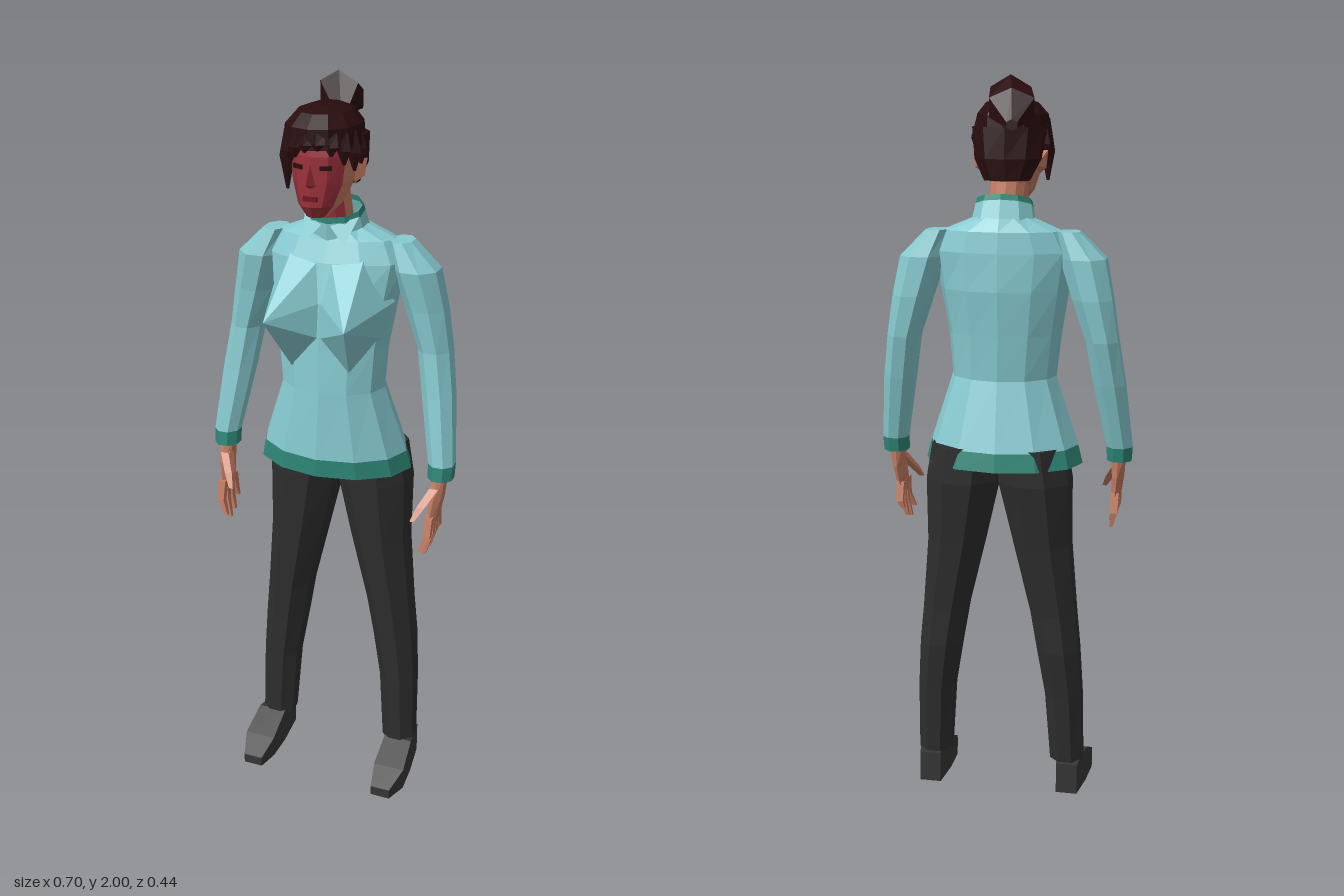
import * as THREE from 'three';
import { ConvexGeometry } from 'three/addons/geometries/ConvexGeometry.js';

const colour = (name, hex, side = THREE.FrontSide) => {
  const m = new THREE.MeshStandardMaterial({ color: hex, flatShading: true, side });
  m.name = name;
  return m;
};

// Loft through horizontal rings [y, x, z, rx, rz], lowest first.
// flat: sides instead of corners face the axes; pick(i): material group of a side.
function loft(rings, { n = 8, flat = false, caps = true, pick = () => 0 } = {}) {
  const k = flat ? 1 / Math.cos(Math.PI / n) : 1;
  const pt = (r, i) => {
    const a = ((i + (flat ? 0.5 : 0)) / n) * Math.PI * 2;
    return [r[1] + r[3] * k * Math.sin(a), r[0], r[2] + r[4] * k * Math.cos(a)];
  };
  const first = rings[0], last = rings[rings.length - 1], pos = [];
  const geo = new THREE.BufferGeometry();
  for (let i = 0; i < n; i++) {
    const start = pos.length / 3;
    for (let j = 0; j < rings.length - 1; j++) {
      const a = pt(rings[j], i), b = pt(rings[j], i + 1);
      const c = pt(rings[j + 1], i + 1), d = pt(rings[j + 1], i);
      pos.push(...a, ...b, ...c, ...a, ...c, ...d);
    }
    if (caps) {
      pos.push(first[1], first[0], first[2], ...pt(first, i + 1), ...pt(first, i));
      pos.push(last[1], last[0], last[2], ...pt(last, i), ...pt(last, i + 1));
    }
    geo.addGroup(start, pos.length / 3 - start, pick(i));
  }
  geo.setAttribute('position', new THREE.Float32BufferAttribute(pos, 3));
  geo.computeVertexNormals();
  return geo;
}

export function createModel() {
  const root = new THREE.Group();
  const jacket = colour('jacketBlue', 0x86cad0, THREE.DoubleSide);
  const trim = colour('trimGreen', 0x2f8878, THREE.DoubleSide);
  const trousers = colour('trousersCharcoal', 0x2e2e2e);
  const shoe = colour('shoeGrey', 0x363636);
  const skin = colour('skin', 0xc47c62);
  const red = colour('faceRed', 0x9a303a);
  const lip = colour('lipDarkRed', 0x6e1620);
  const hair = colour('hairDark', 0x290c0e);

  const add = (name, geo, mat, parent = root) => {
    const m = new THREE.Mesh(geo, mat);
    m.name = name;
    parent.add(m);
    return m;
  };
  const group = (name) => {
    const g = new THREE.Group();
    g.name = name;
    root.add(g);
    return g;
  };
  const side = (rings, s) => rings.map(([y, x, ...rest]) => [y, x * s, ...rest]);
  const hull = (pts) => new ConvexGeometry(pts.map((p) => new THREE.Vector3(...p)));

  // Tunic with flared hem
  const hemTop = [1.025, 0, 0, 0.205, 0.146];
  add('hemTrim', loft([[0.975, 0, -0.005, 0.218, 0.15], hemTop], { n: 12, caps: false }), trim);
  add('tunic', loft([
    hemTop,
    [1.21, 0.004, 0.021, 0.144, 0.113],
    [1.33, 0, 0.012, 0.155, 0.112],
    [1.45, 0, 0.002, 0.175, 0.112],
    [1.55, 0, -0.01, 0.19, 0.095],
    [1.605, 0, -0.018, 0.16, 0.08],
    [1.64, 0, -0.015, 0.075, 0.065],
  ], { n: 12, caps: false }), jacket);

  // Collar: higher at the back, with a trimmed rim and two front points
  const slope = (geo) => {
    const p = geo.attributes.position;
    for (let i = 0; i < p.count; i++) p.setY(i, p.getY(i) - 0.3 * p.getZ(i));
    geo.computeVertexNormals();
    return geo;
  };
  const collarMid = [1.668, 0, 0.002, 0.078, 0.064];
  add('collar', slope(loft([[1.615, 0, -0.01, 0.088, 0.072], collarMid], { n: 10, caps: false })), jacket);
  add('collarTrim', slope(loft([collarMid, [1.684, 0, 0.004, 0.074, 0.062]], { n: 10, caps: false })), trim);

  for (const s of [1, -1]) {
    const label = s > 0 ? 'left' : 'right';

    add(label + 'CollarPoint', hull([
      [0.012 * s, 1.645, 0.07], [0.075 * s, 1.665, 0.03], [0.055 * s, 1.6, 0.085], [0.04 * s, 1.64, 0.05],
    ]), jacket);
    add(label + 'Bust', hull([
      [0.11 * s, 1.42, 0.222], [0.004 * s, 1.45, 0.113], [0.172 * s, 1.45, 0.02], [0.1 * s, 1.57, 0.055],
      [0.02 * s, 1.55, 0.08], [0.08 * s, 1.27, 0.11], [0.15 * s, 1.35, 0.03], [0.005 * s, 1.36, 0.12],
    ]), jacket);

    // Sleeve and cuff
    const arm = group(label + 'Arm');
    const cuffTop = [1.02, 0.315, 0.027, 0.034, 0.037];
    add(label + 'Cuff', loft(side([[0.98, 0.315, 0.032, 0.033, 0.036], cuffTop], s), { flat: true }), trim, arm);
    add(label + 'Sleeve', loft(side([
      cuffTop,
      [1.2, 0.289, -0.01, 0.042, 0.046],
      [1.32, 0.27, -0.03, 0.043, 0.052],
      [1.43, 0.243, -0.03, 0.053, 0.058],
      [1.535, 0.215, -0.02, 0.06, 0.062],
      [1.605, 0.175, -0.02, 0.03, 0.042],
    ], s), { flat: true }), jacket, arm);

    // Hand with four fingers and a thumb
    add(label + 'Palm', loft(side([
      [0.865, 0.304, 0.06, 0.014, 0.04],
      [0.93, 0.311, 0.045, 0.018, 0.038],
      [0.995, 0.313, 0.032, 0.022, 0.026],
    ], s), { n: 6 }), skin, arm);
    [[0.81, 0.018], [0.78, 0.05], [0.77, 0.082], [0.79, 0.113]].forEach(([tipY, tipZ], i) => {
      add(label + 'Finger' + (i + 1), loft(side([
        [tipY, 0.296 - i * 0.003, tipZ, 0.005, 0.005],
        [0.83, 0.305, tipZ * 0.9 + 0.002, 0.009, 0.009],
        [0.885, 0.305, 0.031 + i * 0.02, 0.011, 0.011],
      ], s), { n: 4, flat: true }), skin, arm);
    });
    add(label + 'Thumb', loft(side([
      [0.88, 0.266, 0.118, 0.006, 0.006],
      [0.915, 0.283, 0.092, 0.011, 0.011],
      [0.96, 0.308, 0.055, 0.012, 0.016],
    ], s), { n: 4, flat: true }), skin, arm);

    // Trouser leg
    const leg = group(label + 'Leg');
    leg.position.x = 0.008;
    add(label + 'TrouserLeg', loft(side([
      [0.095, 0.193, -0.008, 0.046, 0.047],
      [0.3, 0.184, -0.018, 0.051, 0.056],
      [0.44, 0.168, -0.024, 0.058, 0.066],
      [0.55, 0.153, -0.022, 0.062, 0.07],
      [0.75, 0.121, -0.022, 0.077, 0.085],
      [0.93, 0.1, -0.028, 0.097, 0.1],
      [1.03, 0.09, -0.028, 0.09, 0.1],
    ], s), { flat: true }), trousers, leg);

    // Shoe, lofted from heel to toe
    add(label + 'Shoe', loft(side([
      [-0.065, 0.2, -0.05, 0.03, 0.045],
      [0.035, 0.203, -0.052, 0.041, 0.052],
      [0.12, 0.206, -0.031, 0.045, 0.031],
      [0.182, 0.202, -0.014, 0.028, 0.014],
    ], s), { n: 4, flat: true }).rotateX(Math.PI / 2), shoe, leg);
  }

  // Head and neck, red paint over the front
  const front = (i) => (i < 2 || i > 8 ? 1 : 0);
  add('neck', loft([[1.58, 0, -0.01, 0.052, 0.05], [1.73, -0.012, 0.012, 0.052, 0.052]],
    { n: 12, pick: front }), [skin, red]);
  const head = group('head');
  head.position.x = -0.015;
  add('face', loft([
    [1.675, 0, 0.085, 0.028, 0.032],
    [1.705, 0, 0.06, 0.055, 0.076],
    [1.76, 0, 0.035, 0.077, 0.1],
    [1.83, 0, 0.03, 0.086, 0.102],
    [1.89, 0, 0.025, 0.08, 0.095],
  ], { n: 12, pick: front }), [skin, red], head);
  add('nose', hull([
    [0, 1.82, 0.128], [0, 1.766, 0.161], [-0.016, 1.757, 0.125], [0.016, 1.757, 0.125], [0, 1.75, 0.13],
  ]), red, head);
  add('mouth', new THREE.BoxGeometry(0.036, 0.012, 0.009).translate(0, 1.727, 0.134), lip, head);
  for (const s of [1, -1]) {
    const eye = add('eye', new THREE.BoxGeometry(0.03, 0.011, 0.008), hair, head);
    eye.position.set(0.037 * s, 1.803, 0.12);
    eye.rotation.y = 0.42 * s;
    add('ear', hull([
      [0.075 * s, 1.81, 0.03], [0.075 * s, 1.75, 0.025], [0.1 * s, 1.81, 0], [0.095 * s, 1.765, 0.005], [0.07 * s, 1.77, -0.02],
    ]), skin, head);
  }

  // Hair: crown, nape, hanging locks and ponytail
  add('hairCrown', loft([
    [1.85, 0, 0.035, 0.1, 0.117],
    [1.9, 0, 0.036, 0.096, 0.113],
    [1.93, 0, 0.028, 0.07, 0.085],
    [1.942, 0, 0.02, 0.035, 0.045],
  ], { n: 12 }), hair, head);
  add('hairNape', loft([
    [1.735, 0, -0.045, 0.062, 0.033],
    [1.79, 0, -0.03, 0.09, 0.055],
    [1.87, 0, -0.005, 0.1, 0.078],
  ], { n: 10 }), hair, head);
  // [angle from the front in degrees, height of the tip]
  [[-95, 1.77], [-75, 1.73], [-58, 1.76], [-40, 1.8], [-22, 1.83], [-4, 1.845],
    [16, 1.85], [36, 1.835], [56, 1.81], [76, 1.79], [95, 1.8]].forEach(([deg, tip]) => {
    const a = THREE.MathUtils.degToRad(deg), x = Math.sin(a), z = Math.cos(a);
    add('hairLock', loft([
      [tip, 0.093 * x, 0.035 + 0.116 * z, 0.004, 0.004],
      [(tip + 1.88) / 2, 0.092 * x, 0.035 + 0.108 * z, 0.02, 0.018],
      [1.89, 0.078 * x, 0.035 + 0.093 * z, 0.02, 0.02],
    ], { n: 5 }), hair, head);
  });
  add('ponytail', loft([
    [0.04, 0, 1.88, 0.035, 0.035],
    [0.08, -0.005, 1.9, 0.024, 0.024],
    [0.112, -0.022, 1.94, 0.06, 0.06],
    [0.17, -0.035, 1.92, 0.066, 0.048],
    [0.223, -0.045, 1.88, 0.016, 0.014],
  ], { n: 6 }).rotateX(-Math.PI / 2), hair, head);

  return root;
}
